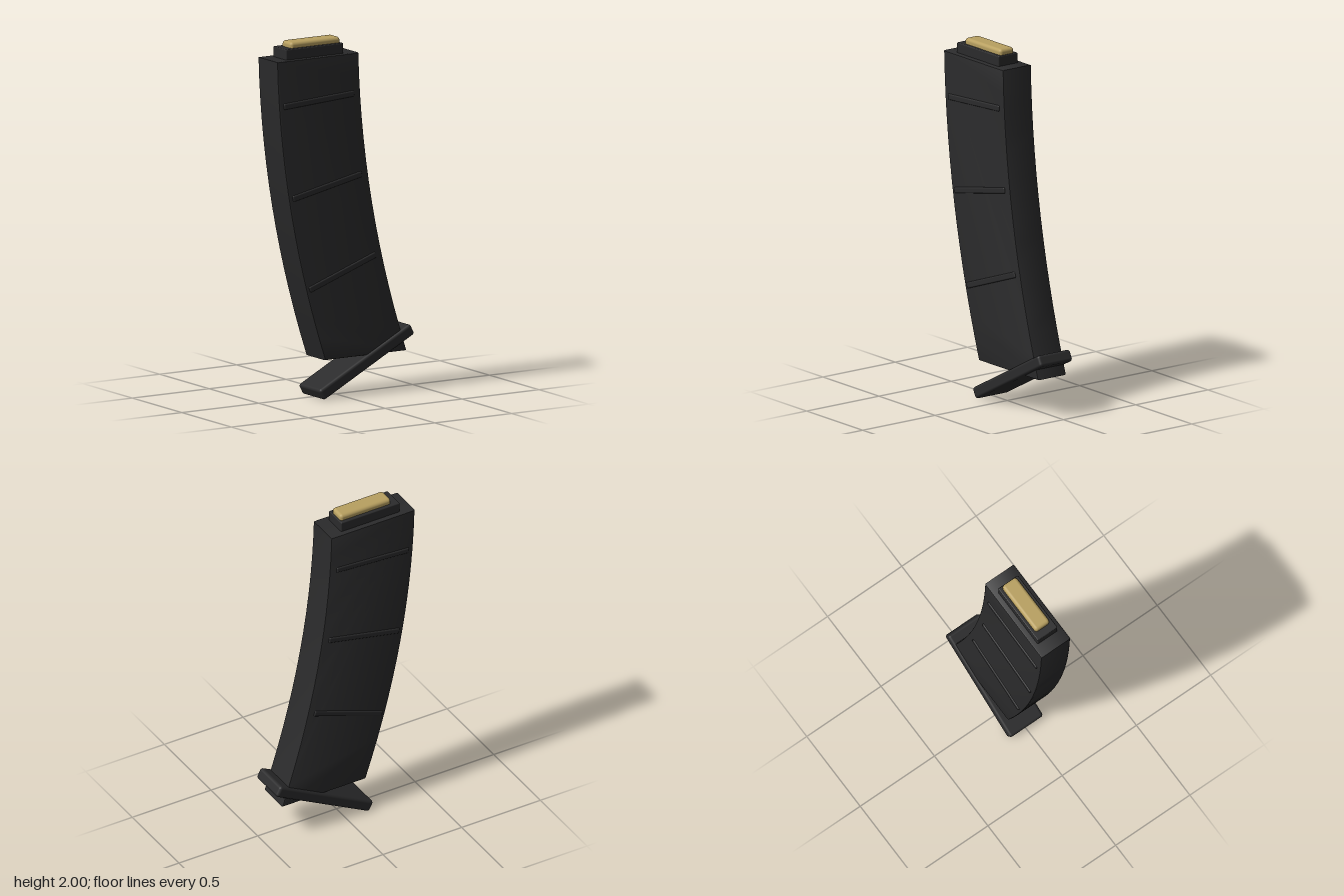
import * as THREE from 'three';
import { RoundedBoxGeometry } from 'three/addons/geometries/RoundedBoxGeometry.js';
import { toCreasedNormals } from 'three/addons/utils/BufferGeometryUtils.js';

const polymer = new THREE.MeshStandardMaterial({ name: 'dark polymer', color: 0x2b2b2c });
const brass = new THREE.MeshStandardMaterial({ name: 'brass', color: 0xb8a060 });

const TOP = 1.91, BOTTOM = 0.22, HALF_WIDTH = 0.265;

// Centre line of the body: sweeps towards +x as it goes down
function centreX(y) {
  const t = (TOP - y) / (TOP - BOTTOM);
  return -0.177 + 0.045 * t + 0.268 * t * t;
}

function roundedBox(name, size, position, angle, radius, material) {
  const mesh = new THREE.Mesh(new RoundedBoxGeometry(...size, 3, radius), material);
  mesh.name = name;
  mesh.position.set(...position);
  mesh.rotation.z = angle;
  return mesh;
}

// Curved box body with a small bevel all round
function createBody() {
  const bevel = 0.008, steps = 14;
  const left = [], right = [];
  for (let i = 0; i <= steps; i++) {
    const y = THREE.MathUtils.lerp(BOTTOM + bevel, TOP - bevel, i / steps);
    right.push(new THREE.Vector2(centreX(y) + HALF_WIDTH - bevel, y));
    left.unshift(new THREE.Vector2(centreX(y) - HALF_WIDTH + bevel, y));
  }
  const depth = 0.196 - 2 * bevel;
  const geometry = new THREE.ExtrudeGeometry(new THREE.Shape([...right, ...left]), {
    depth, bevelEnabled: true, bevelThickness: bevel, bevelSize: bevel, bevelSegments: 2,
  });
  geometry.translate(0, 0, -depth / 2);
  const mesh = new THREE.Mesh(toCreasedNormals(geometry, 0.6), polymer);
  mesh.name = 'body';
  return mesh;
}

export function createModel() {
  const group = new THREE.Group();
  group.name = 'curvedMagazine';
  group.add(createBody());

  // Ribs running through the body and standing proud on both faces
  const ribs = [[-0.172, 1.673, 0.065], [-0.118, 1.187, 0.21], [-0.017, 0.7, 0.345]];
  ribs.forEach(([x, y, angle], i) => {
    group.add(roundedBox(`rib${i + 1}`, [0.458, 0.034, 0.21], [x, y, 0], angle, 0.008, polymer));
  });

  // Tilted floor plate
  group.add(roundedBox('floorPlate', [0.668, 0.066, 0.224], [0.136, 0.184, 0], 0.486, 0.016, polymer));

  // Feed collar and the top round
  group.add(roundedBox('feedCollar', [0.373, 0.075, 0.134], [-0.178, 1.93, 0], 0, 0.006, polymer));
  group.add(roundedBox('topRound', [0.322, 0.08, 0.097], [-0.16, 1.96, 0], 0, 0.018, brass));

  return group;
}
